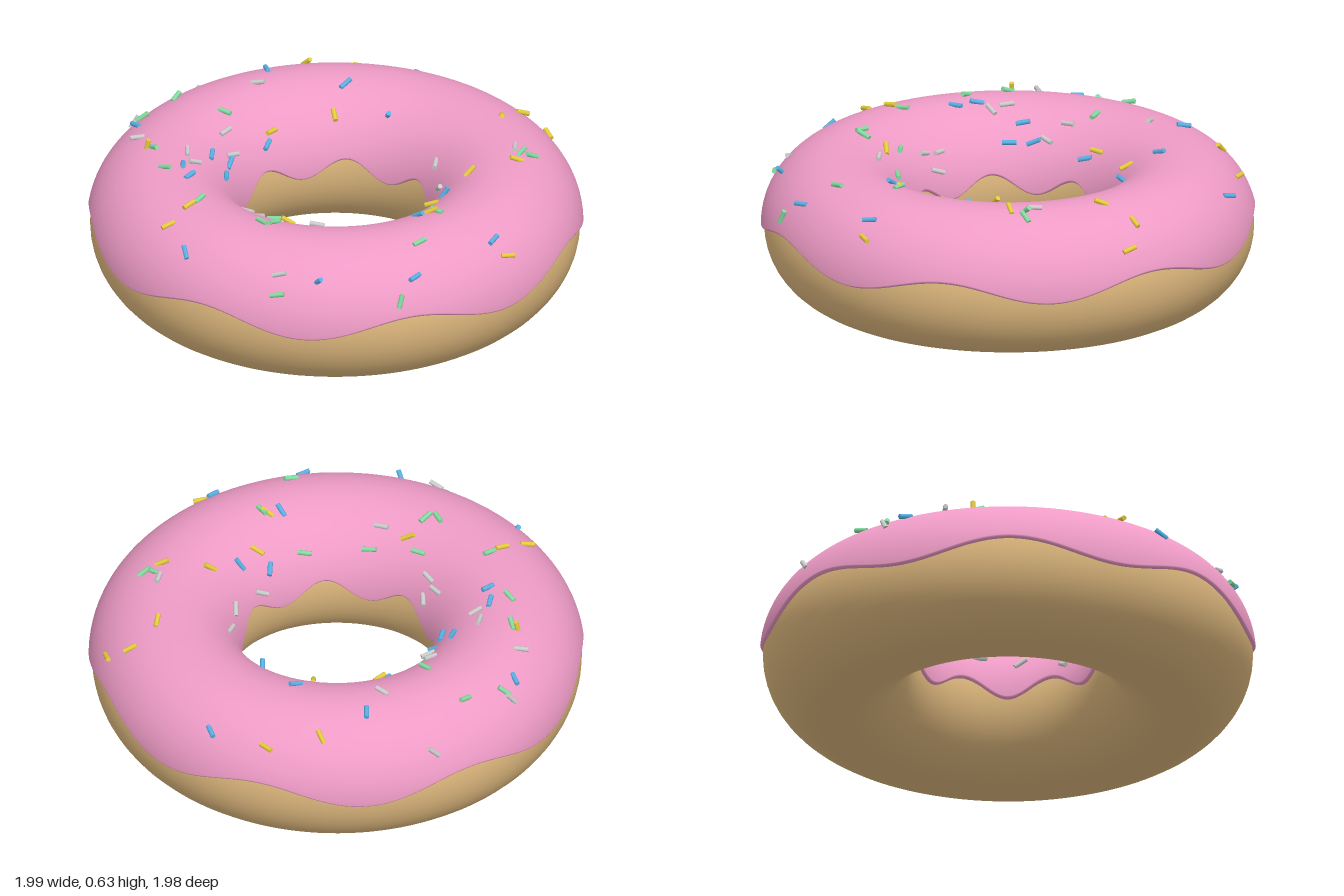
import * as THREE from 'three';

const RING = 0.688;   // radius of the ring's centre line
const DOUGH = 0.295;  // tube radius of the dough
const ICING = 0.308;  // tube radius of the icing
const WAVES = 7;      // drips around the icing edge

const material = (color) => new THREE.MeshStandardMaterial({ color, roughness: 0.7 });

function named(geometry, mat, name) {
  const mesh = new THREE.Mesh(geometry, mat);
  mesh.name = name;
  return mesh;
}

// Icing shell: an open tube section with a wavy, rounded lip on both edges.
function icingGeometry() {
  const around = 224, arc = 40, lip = 5;
  const perRing = 2 * lip + arc + 1;
  const positions = [], indices = [];
  for (let i = 0; i < around; i++) {
    const phi = (i / around) * Math.PI * 2;
    const edgeY = 0.322 + 0.04 * Math.cos(WAVES * phi);
    const start = Math.asin((edgeY - DOUGH) / ICING);
    for (let j = 0; j < perRing; j++) {
      const fromEnd = Math.min(j, perRing - 1 - j);
      let a, r = ICING;
      if (fromEnd < lip) {
        const q = (fromEnd / lip) * Math.PI / 2;
        a = start + 0.04 * (1 - Math.cos(q));
        r = 0.284 + (ICING - 0.284) * Math.sin(q);
        if (j > fromEnd) a = Math.PI - a;
      } else {
        const first = start + 0.04;
        a = first + ((j - lip) / arc) * (Math.PI - 2 * first);
      }
      const rho = RING + r * Math.cos(a);
      positions.push(rho * Math.sin(phi), DOUGH + r * Math.sin(a), rho * Math.cos(phi));
      if (j < perRing - 1) {
        const p = i * perRing + j, n = ((i + 1) % around) * perRing + j;
        indices.push(p, n, n + 1, p, n + 1, p + 1);
      }
    }
  }
  const geometry = new THREE.BufferGeometry();
  geometry.setAttribute('position', new THREE.Float32BufferAttribute(positions, 3));
  geometry.setIndex(indices);
  geometry.computeVertexNormals();
  return geometry;
}

// Sprinkles by colour: x and z in hundredths, heading in degrees, optional tilt.
const SPRINKLES = {
  yellow: [0xe6cc3c, [
    [-41, -82, 0], [-56, -66, -25], [-26, -40, -50], [-42, -18, 80], [39, -78, 60],
    [49, -81, -10], [39, -63, -60], [51, -21, 50], [64, -35, 45], [49, 4, 15],
    [58, 19, 20], [92, 16, 45], [10, 51, 50], [-26, 68, 75], [-28, 80, 60], [-67, 35, 30, 65]]],
  blue: [0x5ab0e6, [
    [-18, -90, -35], [-29, -53, 80], [-62, -46, -45], [-6, -49, 0, 65], [-41, -13, -60],
    [48, -7, 20], [43, 5, -30], [55, 24, -10], [86, 17, -80], [73, 55, 85], [43, 80, 40, 60],
    [-14, 89, -65], [-40, 46, 85], [-47, 40, -60], [-47, 19, -55], [-43, 12, -45],
    [-39, 21, -60], [-85, 15, -20]]],
  green: [0x84dca0, [
    [-82, -10, 85], [-87, 7, 25], [-58, -8, 0], [-64, 35, -25], [-51, 47, -5], [2, 49, 20],
    [6, 64, -20], [10, 61, 85], [-25, 62, 85], [21, 40, 40], [39, 21, 35], [67, 42, 70],
    [72, 64, -50], [30, 90, 40], [66, -43, 60], [62, -41, 70, 45], [60, 18, -10]]],
  white: [0xd4d4d4, [
    [-88, -34, 10], [-58, -33, 15], [-52, 1, 85], [-45, 7, 60], [-90, 8, 30], [-76, 28, 40],
    [-52, 29, -55], [-46, 33, 60], [-16, 41, -10], [-11, 39, -70], [-9, 44, -25], [22, 48, 25],
    [26, -35, -75], [36, -22, 0], [58, -43, -60], [40, -3, 30], [28, 85, 35]]],
};

// Lays a sprinkle on the icing at (x, z), tilted slightly out of the surface.
function placeSprinkle(mesh, x, z, heading, tilt) {
  const rho = Math.hypot(x, z);
  const off = THREE.MathUtils.clamp(rho - RING, -0.305, 0.305);
  const height = Math.sqrt(ICING * ICING - off * off);
  const normal = new THREE.Vector3((x / rho) * off, height, (z / rho) * off).normalize();
  const h = THREE.MathUtils.degToRad(heading);
  const t = THREE.MathUtils.degToRad(tilt);
  const along = new THREE.Vector3(Math.cos(h), 0, -Math.sin(h)).projectOnPlane(normal).normalize();
  along.multiplyScalar(Math.cos(t)).addScaledVector(normal, Math.sin(t));
  mesh.quaternion.setFromUnitVectors(new THREE.Vector3(0, 1, 0), along);
  mesh.position.set(x, DOUGH + height, z).addScaledVector(normal, 0.007);
}

export function createModel() {
  const model = new THREE.Group();
  model.name = 'donut';

  // Dough ring
  const dough = new THREE.TorusGeometry(RING, DOUGH, 48, 128).rotateX(Math.PI / 2);
  dough.translate(0, DOUGH, 0);
  model.add(named(dough, material(0xdcb67c), 'dough'));

  // Icing
  model.add(named(icingGeometry(), material(0xee9bc6), 'icing'));

  // Sprinkles
  const rod = new THREE.CylinderGeometry(0.01, 0.01, 0.058, 8);
  for (const [name, [color, spots]] of Object.entries(SPRINKLES)) {
    const group = new THREE.Group();
    group.name = `${name}Sprinkles`;
    const mat = material(color);
    spots.forEach(([x, z, heading, tilt = 18 * Math.sin(2.4 * i0(x, z))]) => {
      const sprinkle = named(rod, mat, 'sprinkle');
      placeSprinkle(sprinkle, x / 100, z / 100, heading, tilt);
      group.add(sprinkle);
    });
    model.add(group);
  }
  return model;
}

// Repeatable per-spot variation for the tilt.
function i0(x, z) {
  return x * 3 + z * 7;
}
